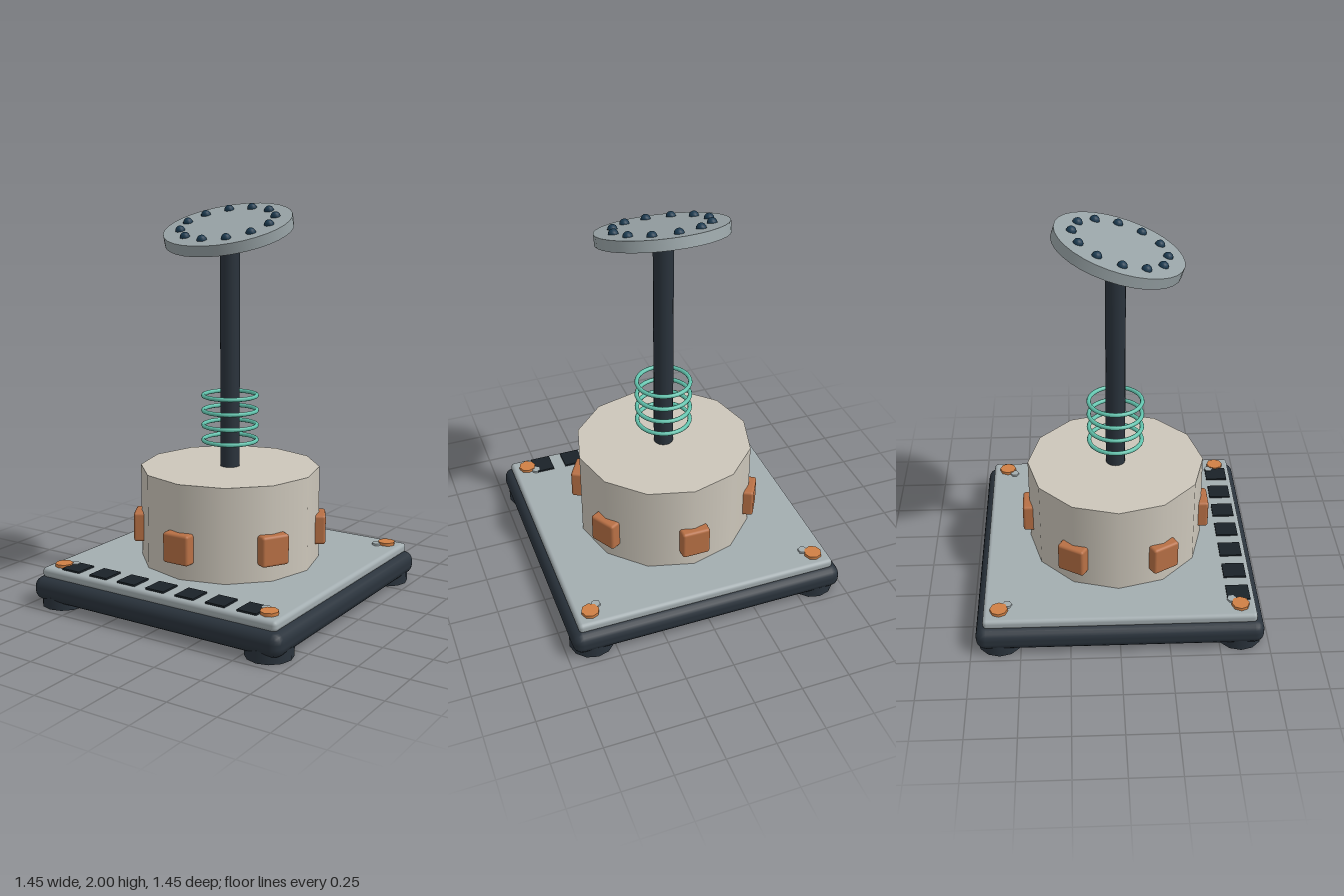
import * as THREE from 'three';
import { RoundedBoxGeometry } from 'three/addons/geometries/RoundedBoxGeometry.js';

const mat = (color) => new THREE.MeshStandardMaterial({ color });
const dark = mat(0x2a333c);
const black = mat(0x1a2228);
const grey = mat(0xa3adb0);
const dishGrey = mat(0x98a3a6);
const cream = mat(0xccc6ba);
const copper = mat(0xb87045);
const orange = mat(0xd08045);
const teal = mat(0x62c4ae);
const navy = mat(0x1b3a50);

export function createModel() {
  const model = new THREE.Group();

  const add = (name, geometry, material, x, y, z, parent = model) => {
    const mesh = new THREE.Mesh(geometry, material);
    mesh.name = name;
    mesh.position.set(x, y, z);
    parent.add(mesh);
    return mesh;
  };

  // Base slab and top plate
  add('baseSlab', new RoundedBoxGeometry(1.445, 0.12, 1.445, 2, 0.05), dark, 0, 0.09, 0);
  add('topPlate', new RoundedBoxGeometry(1.37, 0.052, 1.37, 2, 0.02), grey, 0, 0.171, 0);

  // Feet, corner screws and small hex bolts
  const footGeo = new THREE.CylinderGeometry(0.115, 0.115, 0.06, 12);
  const screwGeo = new THREE.CylinderGeometry(0.045, 0.045, 0.03, 8);
  const boltGeo = new THREE.CylinderGeometry(0.024, 0.024, 0.02, 6);
  for (const sx of [-1, 1]) {
    for (const sz of [-1, 1]) {
      add('foot', footGeo, dark, sx * 0.605, 0.03, sz * 0.605);
      add('cornerScrew', screwGeo, orange, sx * 0.605, 0.198, sz * 0.605);
      add('hexBolt', boltGeo, grey, sx * 0.565, 0.198, sz * 0.565);
    }
  }

  // Row of dark tiles along the front edge
  const tileGeo = new THREE.BoxGeometry(0.105, 0.02, 0.115);
  for (let i = -3; i <= 3; i++) add('frontTile', tileGeo, black, i * 0.172, 0.196, 0.602);

  // Twelve-sided drum with six rounded pads
  add('drum', new THREE.CylinderGeometry(0.458, 0.458, 0.485, 12), cream, 0, 0.4325, 0);
  const padGeo = new RoundedBoxGeometry(0.148, 0.153, 0.09, 2, 0.014);
  for (let i = 0; i < 6; i++) {
    const a = (i * Math.PI) / 3;
    const pad = add('drumPad', padGeo, copper, Math.sin(a) * 0.447, 0.358, Math.cos(a) * 0.447);
    pad.rotation.y = a;
  }

  // Mast and floating coil rings
  add('mast', new THREE.CylinderGeometry(0.05, 0.05, 1.22, 16), dark, 0, 1.25, 0);
  const ringGeo = new THREE.TorusGeometry(0.136, 0.011, 8, 32);
  for (let i = 0; i < 4; i++) {
    add('coilRing', ringGeo, teal, 0, 0.811 + i * 0.0765, 0).rotation.x = Math.PI / 2;
  }

  // Tilted dish with a circle of studs
  const dish = new THREE.Group();
  dish.name = 'dish';
  dish.position.set(0, 1.874, 0.013);
  dish.rotation.x = 0.3;
  model.add(dish);
  add('dishPlate', new THREE.CylinderGeometry(0.323, 0.323, 0.055, 32), dishGrey, 0, 0, 0, dish);
  const studGeo = new THREE.SphereGeometry(0.025, 12, 8);
  for (let i = 0; i < 12; i++) {
    const a = (i * Math.PI) / 6;
    add('dishStud', studGeo, navy, Math.cos(a) * 0.237, 0.0275, Math.sin(a) * 0.237, dish);
  }

  return model;
}
